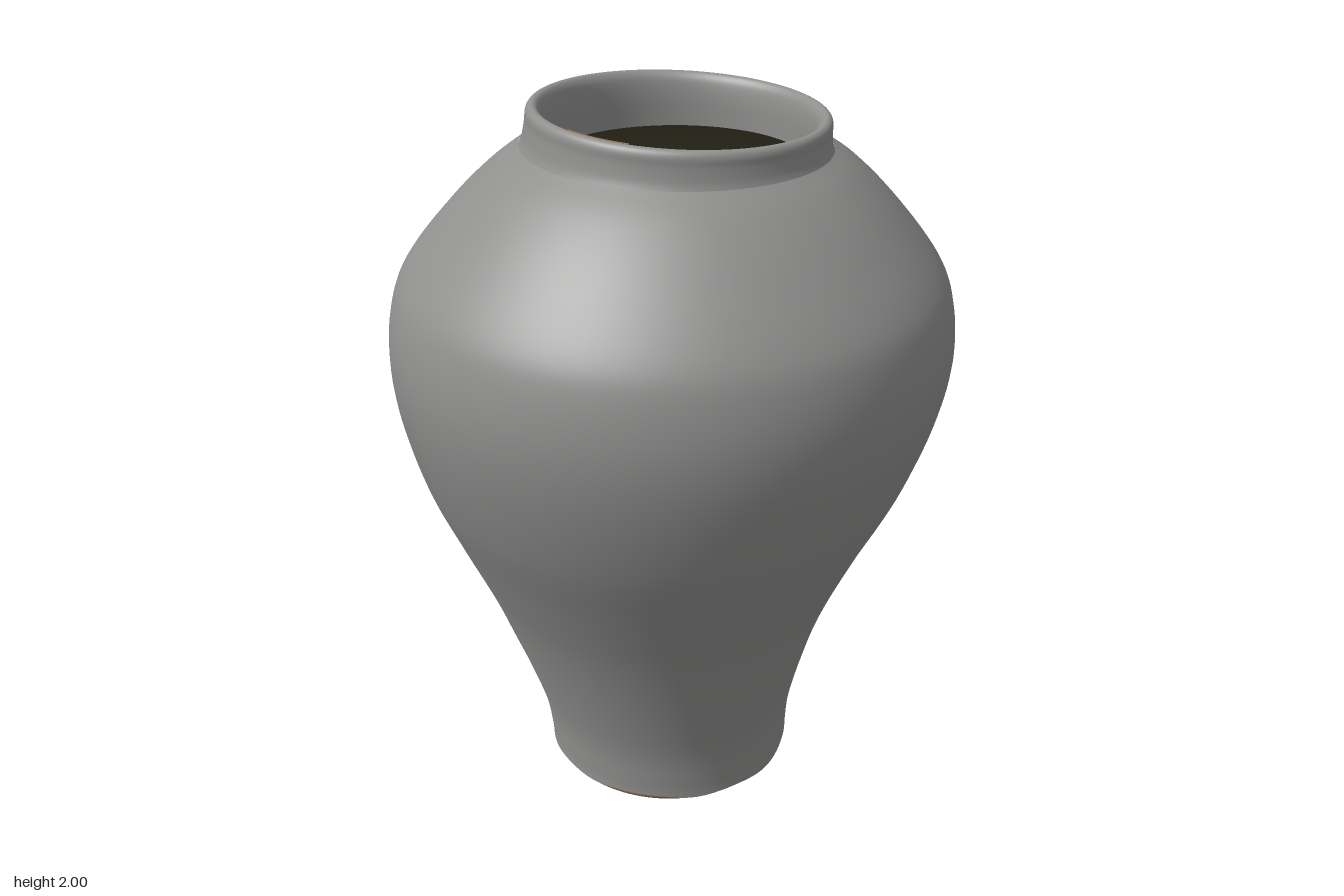
import * as THREE from 'three';

const SEGMENTS = 96;

// Smooth a few [radius, height] points into a lathe profile
function smooth(points, count) {
  return new THREE.SplineCurve(points.map(([r, y]) => new THREE.Vector2(r, y))).getPoints(count);
}
const straight = (points) => points.map(([r, y]) => new THREE.Vector2(r, y));

// Sideways drift of the hand-thrown axis: [height, x, z]
const drift = [
  [0, -0.005, -0.005], [0.2, -0.015, 0], [0.5, -0.03, 0], [0.8, -0.028, 0],
  [1.0, -0.02, 0.002], [1.35, 0, 0], [1.85, 0.008, 0.006], [2.0, 0.02, 0.012],
];

function axisAt(y) {
  let i = 0;
  while (i < drift.length - 2 && y > drift[i + 1][0]) i++;
  const [a, b] = [drift[i], drift[i + 1]];
  const t = THREE.MathUtils.clamp((y - a[0]) / (b[0] - a[0]), 0, 1);
  return [THREE.MathUtils.lerp(a[1], b[1], t), THREE.MathUtils.lerp(a[2], b[2], t)];
}

// Lean the pot along its axis and tilt the rim
function warp(geometry) {
  const p = geometry.attributes.position;
  for (let i = 0; i < p.count; i++) {
    const x = p.getX(i), y = p.getY(i), z = p.getZ(i);
    const [dx, dz] = axisAt(y);
    const tilt = THREE.MathUtils.smoothstep(y, 1.84, 1.97) * 0.033;
    p.setXYZ(i, x + dx, y - tilt * (x + z), z + dz);
  }
  return geometry;
}

export function createModel() {
  const jar = new THREE.Group();
  jar.name = 'jar';

  const glaze = new THREE.MeshStandardMaterial({ name: 'grey glaze', color: 0x8f908e });
  const inside = new THREE.MeshStandardMaterial({ name: 'dark interior', color: 0x48422f });
  const clay = new THREE.MeshStandardMaterial({ name: 'bare clay', color: 0x8c7052 });
  const base = new THREE.MeshStandardMaterial({ name: 'base clay', color: 0x6a5b49 });

  function turn(name, profile, material, start = 0, length = Math.PI * 2, reshape) {
    const segments = Math.max(8, Math.round(SEGMENTS * length / (Math.PI * 2)));
    const geometry = new THREE.LatheGeometry(profile, segments, start, length);
    if (reshape) reshape(geometry.attributes.position);
    const mesh = new THREE.Mesh(warp(geometry), material);
    mesh.name = name;
    jar.add(mesh);
  }

  // Recessed underside and bare foot ring
  turn('base', straight([[0, 0.055], [0.2, 0.055], [0.295, 0.045]]), base);
  turn('footRing', smooth([[0.295, 0.045], [0.31, 0.015], [0.325, 0.002], [0.34, 0],
    [0.355, 0.004], [0.363, 0.016], [0.365, 0.045]], 24), clay);

  // Glazed body with an uneven lower glaze edge
  const bodyPoints = [
    [0.368, 0.02], [0.37, 0.07], [0.385, 0.2], [0.438, 0.4], [0.505, 0.6], [0.59, 0.8],
    [0.678, 1.0], [0.739, 1.2], [0.76, 1.36], [0.743, 1.5], [0.697, 1.6],
    [0.58, 1.74], [0.48, 1.835], [0.403, 1.888],
  ];
  turn('body', smooth(bodyPoints, 72), glaze, 0, Math.PI * 2, (p) => {
    for (let i = 0; i < p.count; i++) {
      if (p.getY(i) > 0.021) continue;
      const a = Math.atan2(p.getX(i), p.getZ(i));
      p.setY(i, 0.019 + 0.007 * Math.sin(a * 3 + 4) + 0.005 * Math.sin(a * 8 + 1));
    }
  });

  // Upright neck, rounded lip and the glazed inside of the neck
  turn('neck', smooth([[0.405, 1.882], [0.396, 1.905], [0.39, 1.94], [0.389, 1.963],
    [0.383, 1.976], [0.372, 1.981], [0.36, 1.975], [0.35, 1.955],
    [0.345, 1.91], [0.347, 1.84]], 48), glaze);

  // Worn patch on the lip
  turn('lipWear', smooth([[0.376, 1.983], [0.37, 1.984], [0.358, 1.977],
    [0.348, 1.955], [0.346, 1.94]], 12), clay, -1.29, 0.47);

  // Hollow interior
  turn('interior', smooth([[0.347, 1.84], [0.42, 1.8], [0.53, 1.7], [0.64, 1.57], [0.69, 1.45],
    [0.7, 1.35], [0.68, 1.2], [0.62, 1.0], [0.53, 0.8], [0.445, 0.6], [0.38, 0.4],
    [0.33, 0.22], [0.27, 0.13], [0.14, 0.105], [0, 0.1]], 64), inside);

  return jar;
}
